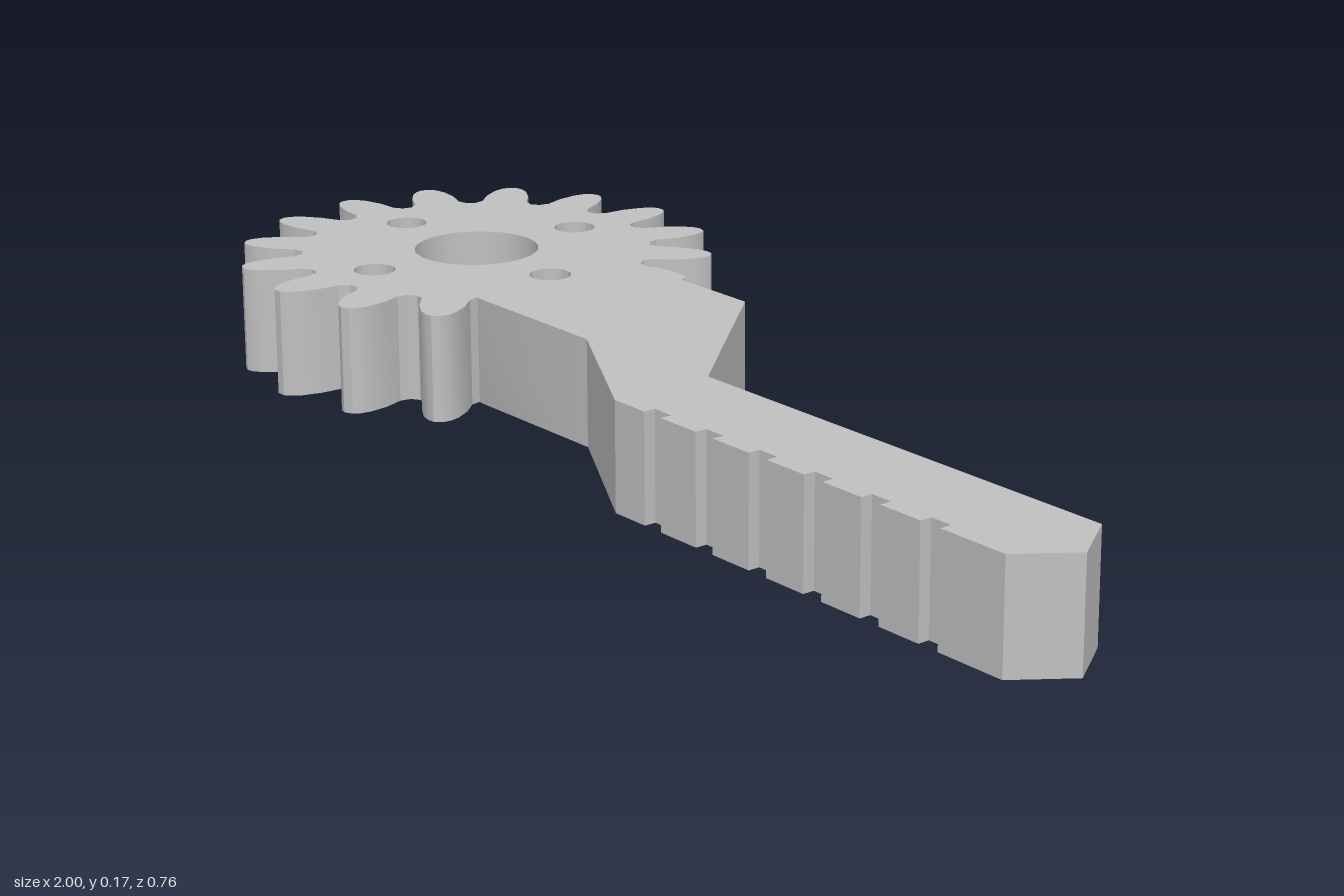
import * as THREE from 'three';
import { toCreasedNormals } from 'three/addons/utils/BufferGeometryUtils.js';

const HEIGHT = 0.17;
const CX = -0.62; // gear centre
const TEETH = 16;
// half tooth profile from root to tip: [radius, half angle]
const FLANK = [[0.282, 0.168], [0.295, 0.128], [0.33, 0.108], [0.36, 0.075], [0.375, 0.046], [0.382, 0.02]];

export function createModel() {
  const group = new THREE.Group();
  const steel = new THREE.MeshStandardMaterial({ color: 0xc0c0c0 });
  steel.name = 'light grey';

  const pts = [];
  const add = (x, y) => pts.push(new THREE.Vector2(x, y));
  const polar = (r, a) => add(CX + r * Math.cos(a), r * Math.sin(a));

  // lower edge of the arm
  add(-0.385, -0.165);
  add(-0.11, -0.165);
  add(0.145, -0.31);
  // row of small notches
  for (let i = 0; i < 6; i++) {
    const x = 0.212 + i * 0.1142;
    add(x, -0.31);
    add(x, -0.291);
    add(x + 0.037, -0.291);
    add(x + 0.037, -0.31);
  }
  // pointed end and upper edge of the arm
  add(0.94, -0.31);
  add(1, -0.227);
  add(0.94, -0.14);
  add(0.145, -0.14);
  add(-0.11, 0.142);
  add(-0.267, 0.142);

  // gear teeth; the first one is half buried in the arm
  for (let i = 1; i <= 14; i++) {
    const a = (i / TEETH) * Math.PI * 2;
    if (i > 1) FLANK.forEach(([r, h]) => polar(r, a - h));
    [...FLANK].reverse().forEach(([r, h]) => polar(r, a + h));
  }

  const shape = new THREE.Shape(pts);
  // centre bore and four bolt holes
  const hole = (x, y, r) => shape.holes.push(new THREE.Path().absarc(x, y, r, 0, Math.PI * 2, true));
  hole(CX, 0, 0.1);
  for (let i = 0; i < 4; i++) {
    const a = (i * Math.PI) / 2;
    hole(CX + 0.199 * Math.cos(a), 0.199 * Math.sin(a), 0.033);
  }

  const geometry = new THREE.ExtrudeGeometry(shape, { depth: HEIGHT, bevelEnabled: false, curveSegments: 24 });
  geometry.rotateX(-Math.PI / 2);
  const mesh = new THREE.Mesh(toCreasedNormals(geometry, 0.5), steel);
  mesh.name = 'gearWithNotchedArm';
  group.add(mesh);
  return group;
}
